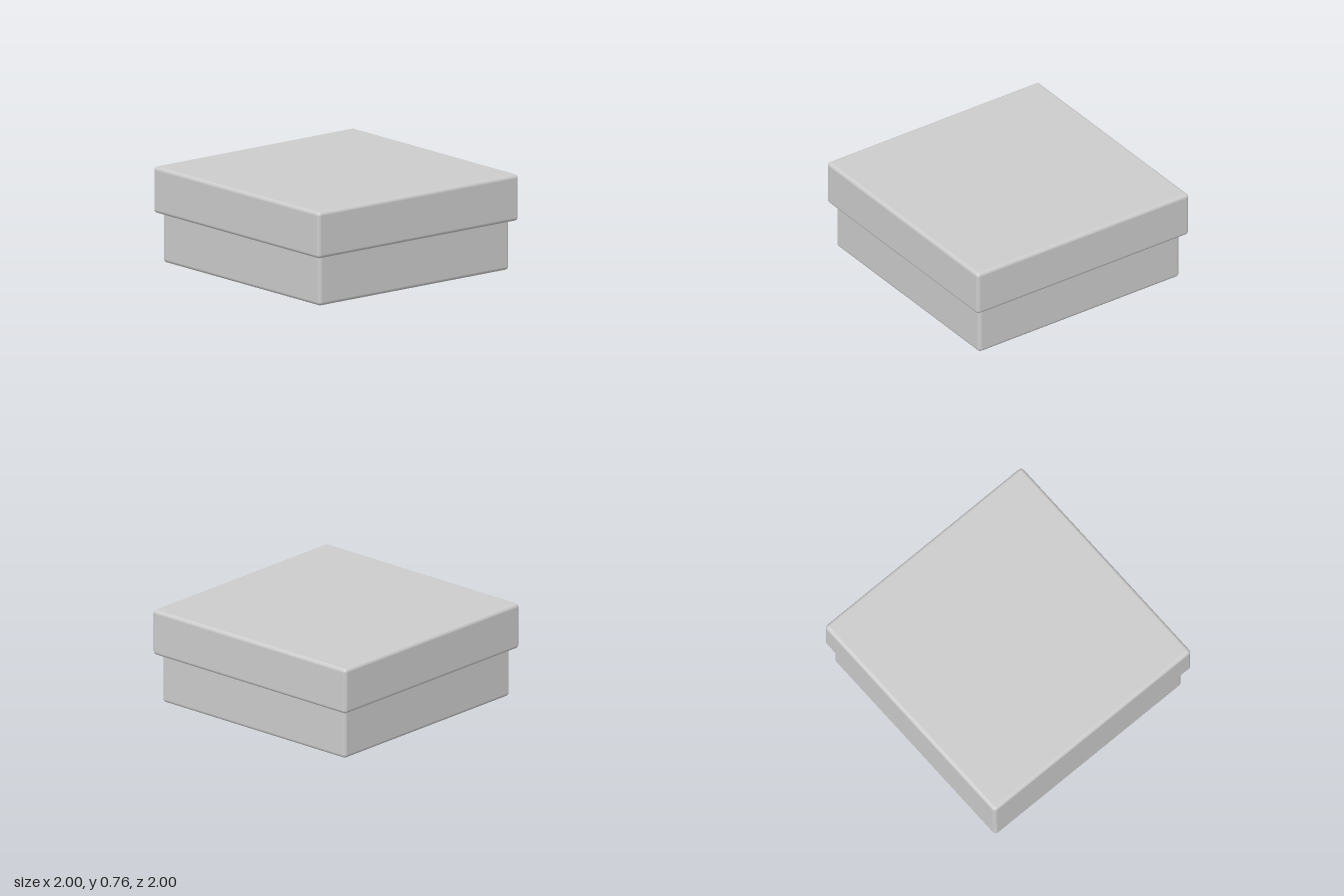
import * as THREE from 'three';
import { RoundedBoxGeometry } from 'three/addons/geometries/RoundedBoxGeometry.js';

const material = new THREE.MeshStandardMaterial({ color: 0xcccccc });

// Square block with softly rounded edges, spanning bottom..top in y
function roundedBlock(name, width, bottom, top, radius) {
  const geometry = new RoundedBoxGeometry(width, top - bottom, width, 5, radius);
  const mesh = new THREE.Mesh(geometry, material);
  mesh.name = name;
  mesh.position.y = (bottom + top) / 2;
  return mesh;
}

export function createModel() {
  const box = new THREE.Group();
  box.name = 'liddedBox';

  // Base, with its upper rim tucked up inside the lid
  box.add(roundedBlock('base', 1.895, 0, 0.5, 0.03));

  // Wider lid overhanging the base on all four sides
  box.add(roundedBlock('lid', 2, 0.39, 0.757, 0.03));

  return box;
}
